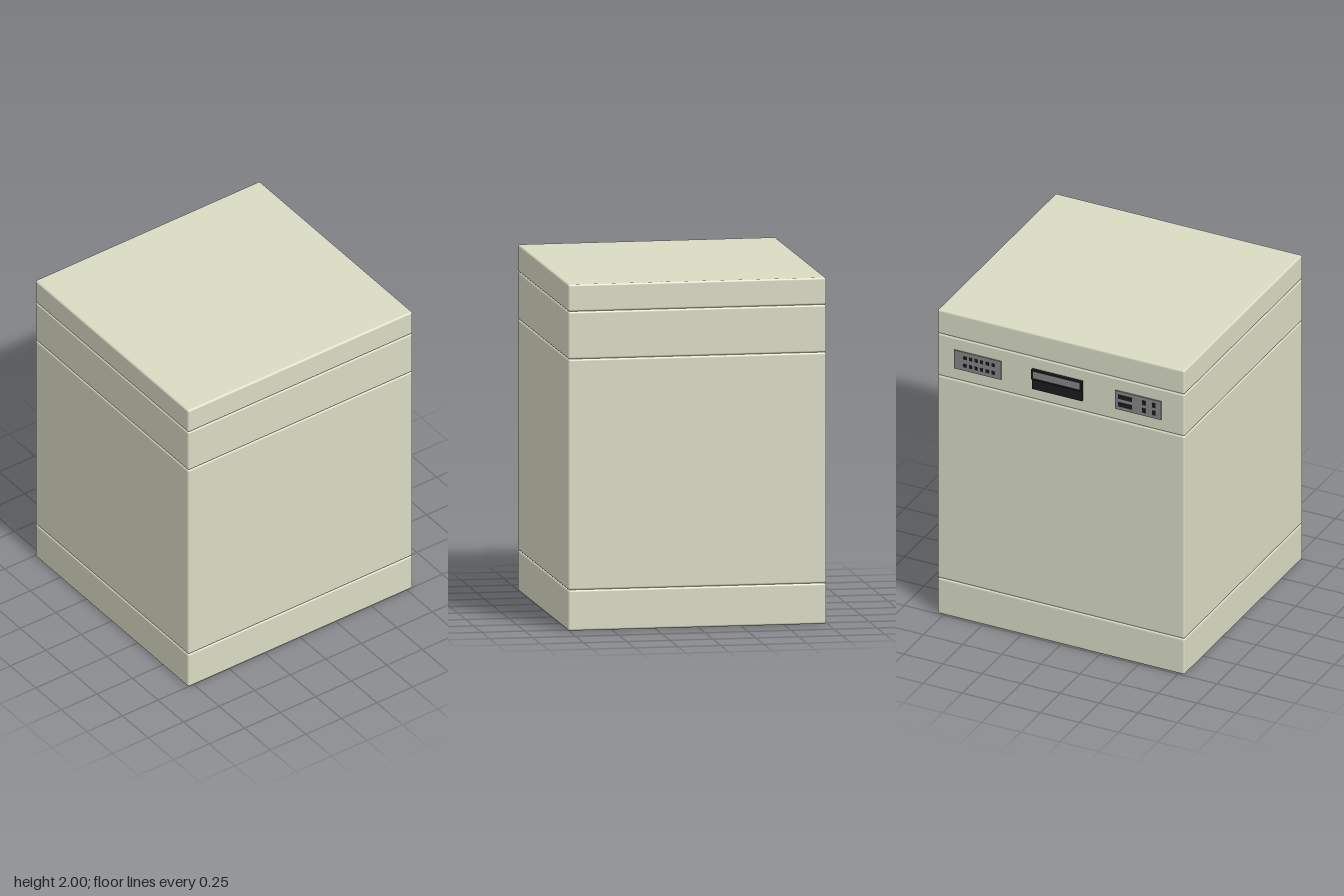
import * as THREE from 'three';
import { RoundedBoxGeometry } from 'three/addons/geometries/RoundedBoxGeometry.js';

const mat = (color) => new THREE.MeshStandardMaterial({ color });
const shell = mat(0xd9dbc4), grey = mat(0x85858a), dark = mat(0x1c1c1e);
const SIDE = -0.745; // x of the wall carrying the fittings

export function createModel() {
  const model = new THREE.Group();
  model.name = 'cabinet';

  // Stacked shell sections with softened edges that form the grooves
  const levels = [0, 0.235, 1.568, 1.843, 2];
  const names = ['base', 'body', 'controlBand', 'lid'];
  names.forEach((name, i) => {
    const h = levels[i + 1] - levels[i];
    const mesh = new THREE.Mesh(new RoundedBoxGeometry(1.5, h, 1.58, 4, 0.012), shell);
    mesh.position.set(0.005, levels[i] + h / 2, 0);
    mesh.name = name;
    model.add(mesh);
  });

  // Block on the side wall, standing out by the given amount
  function fitting(parent, name, material, out, y0, y1, z0, z1) {
    const depth = out + 0.004;
    const mesh = new THREE.Mesh(new THREE.BoxGeometry(depth, y1 - y0, z1 - z0), material);
    mesh.position.set(SIDE + 0.004 - depth / 2, (y0 + y1) / 2, (z0 + z1) / 2);
    mesh.name = name;
    parent.add(mesh);
  }
  function subgroup(name) {
    const g = new THREE.Group();
    g.name = name;
    model.add(g);
    return g;
  }

  // Rear panel: two rows of small sockets
  const sockets = subgroup('socketPanel');
  fitting(sockets, 'socketPlate', grey, 0.008, 1.645, 1.765, -0.68, -0.38);
  for (const y of [1.68, 1.73])
    for (let i = 0; i < 6; i++) {
      const z = -0.61 + i * 0.036;
      fitting(sockets, 'socket', dark, 0.012, y - 0.01, y + 0.01, z - 0.009, z + 0.009);
    }

  // Middle display: dark lower plate, raised frame and grey window
  const display = subgroup('display');
  fitting(display, 'displayPlate', dark, 0.011, 1.64, 1.77, -0.18, 0.14);
  fitting(display, 'frameTop', dark, 0.019, 1.76, 1.77, -0.18, 0.14);
  fitting(display, 'frameBottom', dark, 0.019, 1.705, 1.713, -0.18, 0.14);
  for (const z of [-0.18, 0.13])
    fitting(display, 'frameSide', dark, 0.019, 1.705, 1.77, z, z + 0.01);
  fitting(display, 'window', grey, 0.015, 1.713, 1.76, -0.17, 0.13);

  // Front panel: two wide ports and four small ports
  const ports = subgroup('portPanel');
  fitting(ports, 'portPlate', grey, 0.008, 1.645, 1.765, 0.35, 0.645);
  for (const y of [1.68, 1.73]) {
    fitting(ports, 'widePort', dark, 0.012, y - 0.013, y + 0.013, 0.37, 0.46);
    for (const z of [0.535, 0.6])
      fitting(ports, 'smallPort', dark, 0.012, y - 0.014, y + 0.014, z - 0.01, z + 0.01);
  }

  return model;
}
